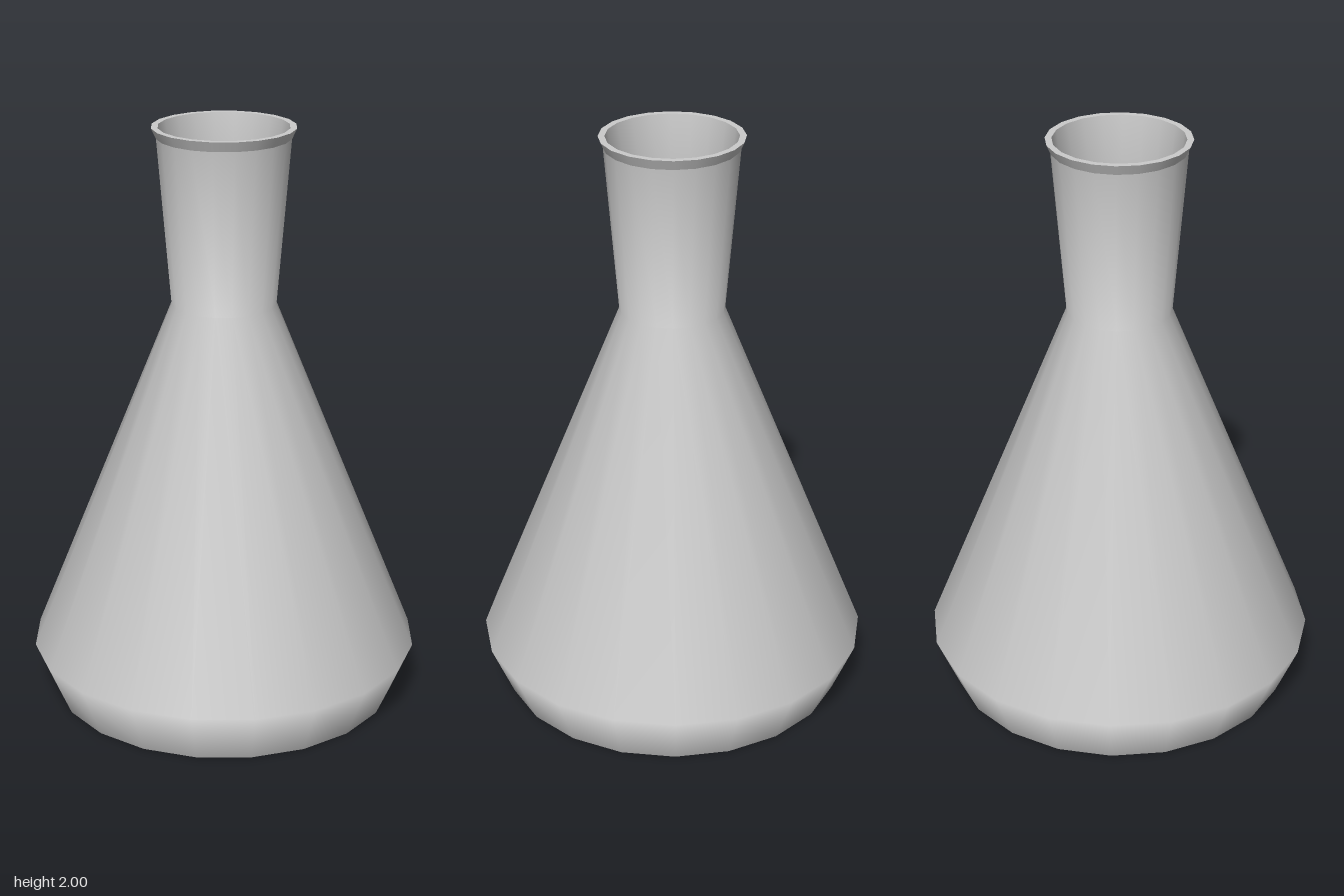
import * as THREE from 'three';

const SIDES = 20;

export function createModel() {
  const flask = new THREE.Group();
  flask.name = 'conicalFlask';
  const material = new THREE.MeshStandardMaterial({ color: 0xcccccc });

  // Revolves a [radius, height] profile; separate parts keep the edges between them sharp
  function turned(name, profile) {
    const points = profile.map(([r, y]) => new THREE.Vector2(r, y));
    const mesh = new THREE.Mesh(new THREE.LatheGeometry(points, SIDES), material);
    mesh.name = name;
    flask.add(mesh);
  }

  // Underside
  turned('base', [[0, 0], [0.59, 0]]);
  // Bevelled foot, cone and flared neck
  turned('outerWall', [[0.59, 0], [0.667, 0.18], [0.177, 1.4], [0.224, 1.965]]);
  // Small lip and flat rim
  turned('lip', [[0.224, 1.965], [0.24, 2]]);
  turned('rim', [[0.24, 2], [0.218, 2]]);
  // Hollow inside, from the mouth down
  turned('innerWall', [[0.218, 2], [0.15, 1.4], [0.637, 0.18], [0.57, 0.03]]);
  turned('innerFloor', [[0.57, 0.03], [0, 0.03]]);

  return flask;
}
